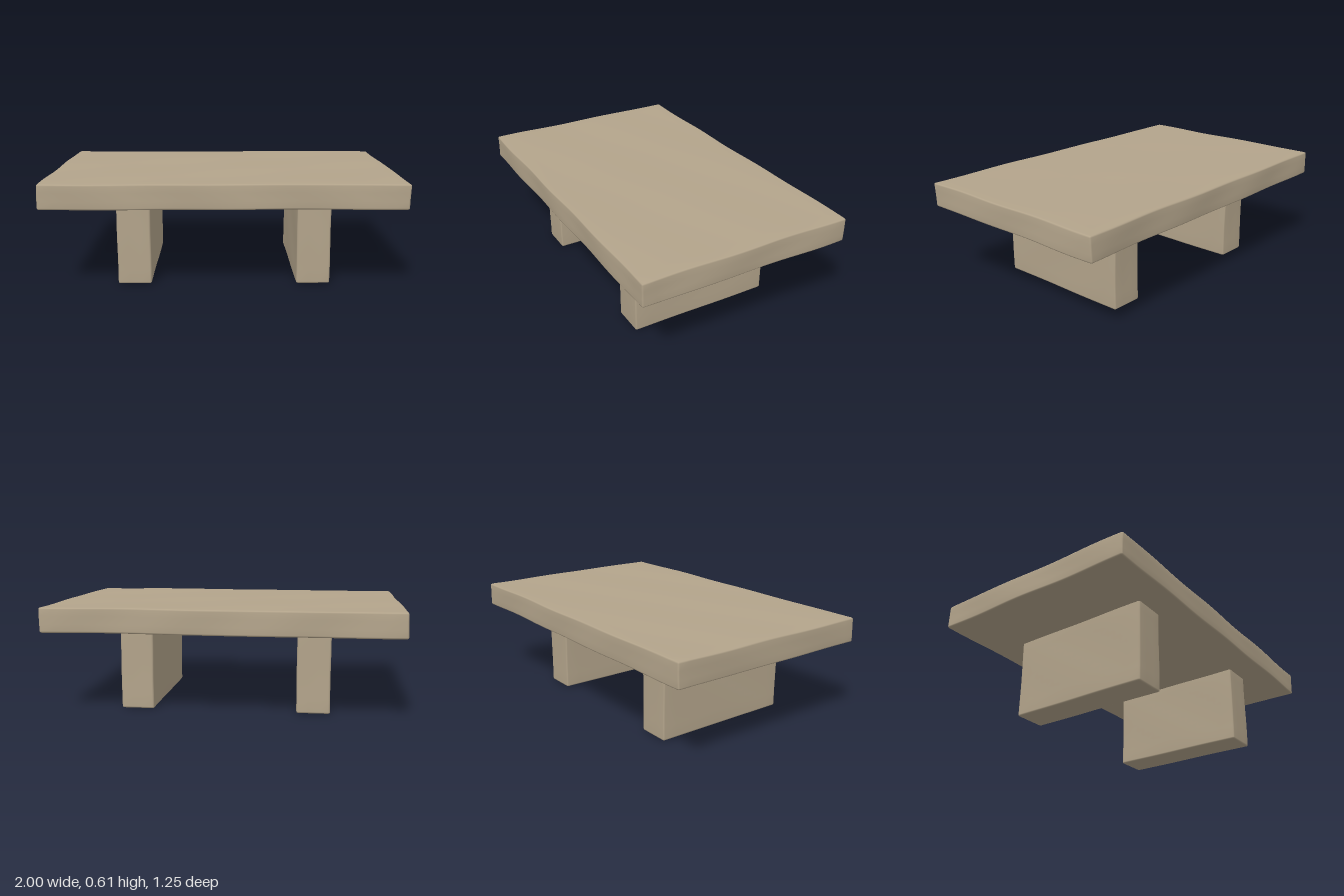
import * as THREE from 'three';
import { mergeVertices } from 'three/addons/utils/BufferGeometryUtils.js';

// Block with softly rounded edges and a slightly uneven, hand-worked surface
function stoneBlock(size, segments, radius, waviness) {
  const geo = new THREE.BoxGeometry(...size, ...segments);
  geo.deleteAttribute('uv');
  geo.deleteAttribute('normal');
  const merged = mergeVertices(geo, 1e-4);
  const pos = merged.attributes.position;
  const p = new THREE.Vector3(), inner = new THREE.Vector3(), out = new THREE.Vector3();
  for (let i = 0; i < pos.count; i++) {
    p.fromBufferAttribute(pos, i);
    // Pull the second row of vertices out to where the rounding begins
    for (let a = 0; a < 3; a++) {
      const v = p.getComponent(a), half = size[a] / 2, step = size[a] / segments[a];
      if (Math.abs(Math.abs(v) - (half - step)) < 1e-4) p.setComponent(a, Math.sign(v) * (half - radius));
      inner.setComponent(a, THREE.MathUtils.clamp(p.getComponent(a), radius - half, half - radius));
    }
    out.subVectors(p, inner).normalize();
    p.copy(inner).addScaledVector(out, radius);
    // Long shallow ripples
    const { x, y, z } = p;
    p.x += waviness * Math.sin(9 * z + 14 * y);
    p.y += waviness * 0.8 * (Math.sin(4 * x + 11 * z) * 0.6 + Math.sin(7 * x - 5 * z + 1) * 0.4);
    p.z += waviness * Math.sin(10 * x + 12 * y + 2);
    pos.setXYZ(i, p.x, p.y, p.z);
  }
  merged.computeVertexNormals();
  return merged;
}

export function createModel() {
  const group = new THREE.Group();
  group.name = 'stoneTable';
  const stone = new THREE.MeshStandardMaterial({ color: 0xb3a48b });
  stone.name = 'sandstone';

  // Slab top
  const top = new THREE.Mesh(stoneBlock([1.99, 0.14, 1.244], [48, 6, 32], 0.01, 0.003), stone);
  top.name = 'tableTop';
  top.position.y = 0.539;
  group.add(top);

  // Two upright slab legs, set slightly toward the front
  for (const [name, side] of [['leftLeg', 1], ['rightLeg', -1]]) {
    const leg = new THREE.Mesh(stoneBlock([0.19, 0.5, 0.848], [6, 12, 20], 0.01, 0.001), stone);
    leg.name = name;
    leg.position.set(side * 0.506, 0.251, 0.022);
    group.add(leg);
  }
  return group;
}
